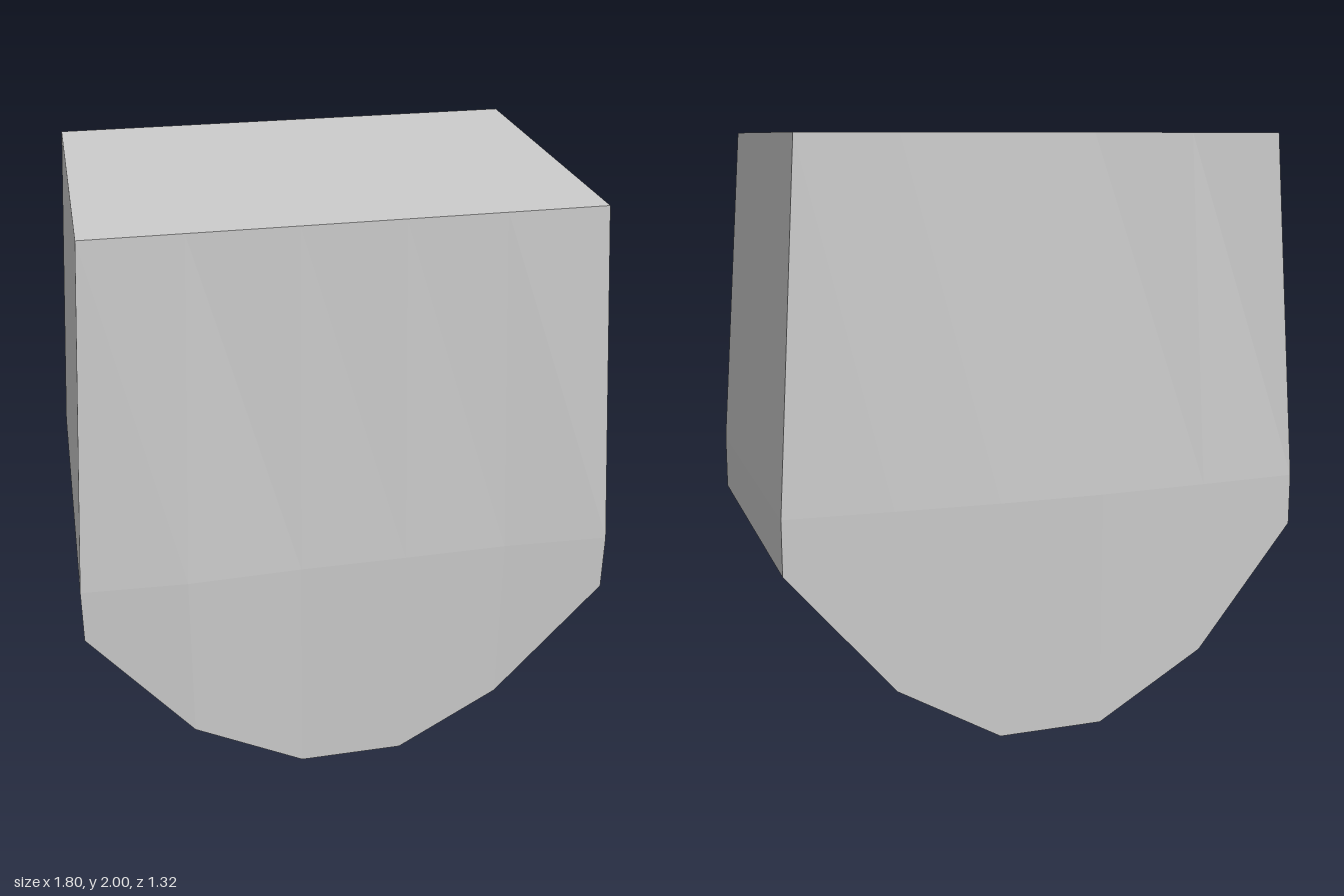
import * as THREE from 'three';

// Stations across x: [x, bottom y, front z, back z]
const stations = [
  [-0.9, 0.63, 0.64, -0.61],
  [-0.55, 0.21, 0.655, -0.635],
  [-0.17, 0.0, 0.642, -0.657],
  [0.19, 0.0, 0.64, -0.66],
  [0.54, 0.2, 0.635, -0.65],
  [0.9, 0.62, 0.65, -0.635],
];

// Closed section at a station: down the front, under, and up the back
function section([x, bottom, front, back]) {
  const topX = x * 0.82 / 0.9;
  return [
    [topX, 2, 0.58], [x, 0.82, front], [x, bottom, front],
    [x, bottom + 0.015, back], [x, 0.82, back], [topX, 2, -0.58],
  ];
}

function blockGeometry() {
  const rings = stations.map(section);
  const positions = [];
  const quad = (a, b, c, d) => positions.push(...a, ...b, ...c, ...a, ...c, ...d);
  // Skin between neighbouring sections, including the flat top
  for (let i = 0; i < rings.length - 1; i++) {
    const p = rings[i], q = rings[i + 1];
    for (let j = 0; j < 6; j++) {
      const k = (j + 1) % 6;
      quad(p[j], p[k], q[k], q[j]);
    }
  }
  // Tapered side walls
  const l = rings[0], r = rings[rings.length - 1];
  for (let j = 0; j < 2; j++) {
    quad(r[j], r[j + 1], r[4 - j], r[5 - j]);
    quad(l[5 - j], l[4 - j], l[j + 1], l[j]);
  }
  const geometry = new THREE.BufferGeometry();
  geometry.setAttribute('position', new THREE.Float32BufferAttribute(positions, 3));
  geometry.computeVertexNormals();
  return geometry;
}

export function createModel() {
  const group = new THREE.Group();
  group.name = 'taperedBlock';
  const grey = new THREE.MeshStandardMaterial({ color: 0xcccccc, flatShading: true });
  grey.name = 'light grey';
  const block = new THREE.Mesh(blockGeometry(), grey);
  block.name = 'block';
  group.add(block);
  return group;
}
